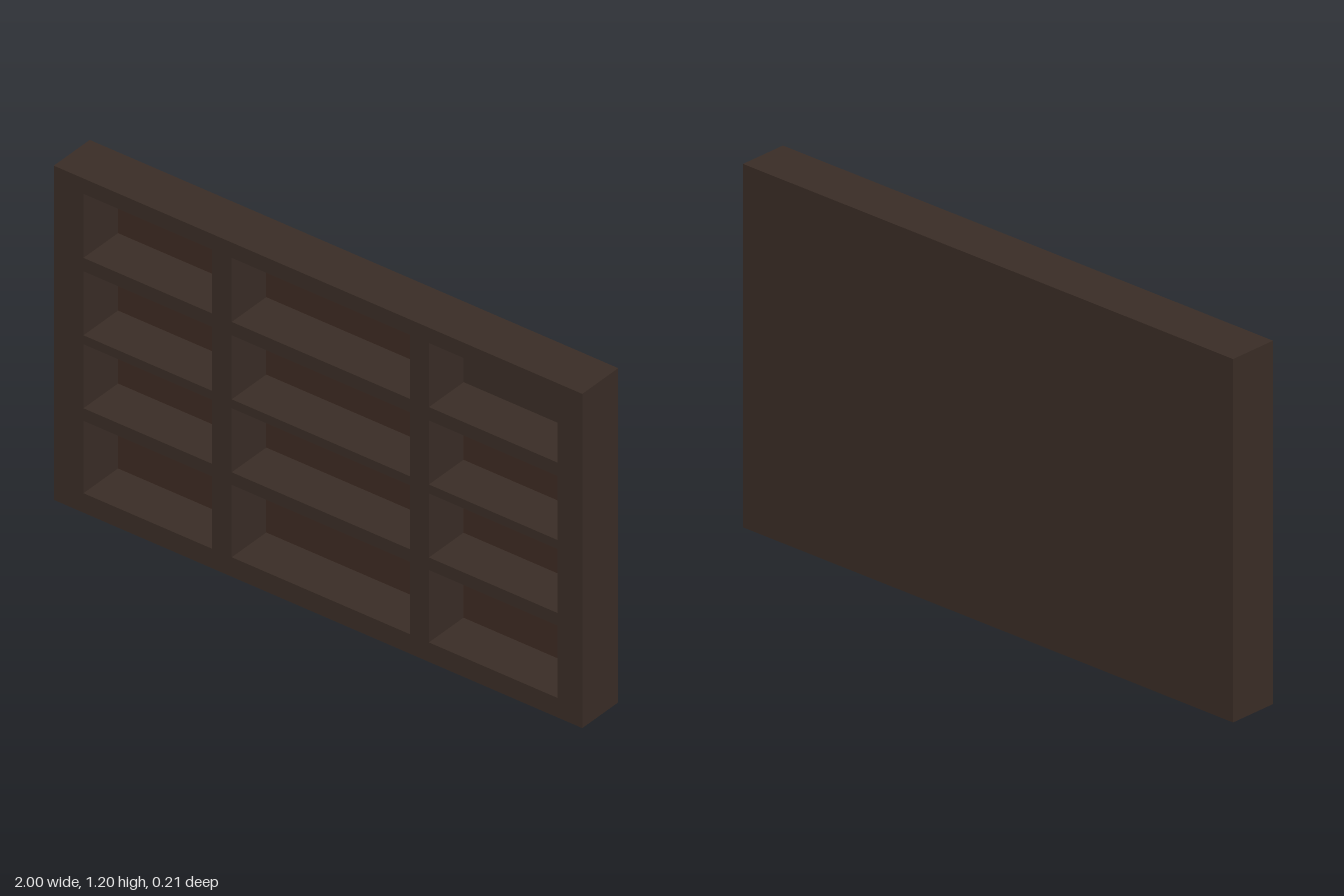
import * as THREE from 'three';

const W = 1.9965, H = 1.2, T = 0.175, BACK = 0.006;
const columns = [[-0.886, -0.401], [-0.326, 0.347], [0.419, 0.904]];
const rows = [[0.07, 0.33], [0.375, 0.605], [0.637, 0.867], [0.915, 1.145]];

function rectPath(path, x0, y0, x1, y1) {
  path.moveTo(x0, y0).lineTo(x1, y0).lineTo(x1, y1).lineTo(x0, y1).closePath();
  return path;
}

export function createModel() {
  const group = new THREE.Group();
  group.name = 'shelfUnit';
  const wood = new THREE.MeshStandardMaterial({ color: 0x3a2d26 });
  const lining = new THREE.MeshStandardMaterial({ color: 0x3d2a22 });
  const add = (name, geometry, material, x, y, z) => {
    const mesh = new THREE.Mesh(geometry, material);
    mesh.name = name;
    mesh.position.set(x, y, z);
    group.add(mesh);
  };

  // Frame with shelves and dividers, cut through by the compartments
  const shape = rectPath(new THREE.Shape(), -W / 2, 0, W / 2, H);
  for (const [x0, x1] of columns) {
    for (const [y0, y1] of rows) {
      shape.holes.push(rectPath(new THREE.Path(), x0, y0, x1, y1));
    }
  }
  const frame = new THREE.ExtrudeGeometry(shape, { depth: T - BACK, bevelEnabled: false });
  add('frame', frame, wood, 0, 0, -T / 2 + BACK);

  // Thin back board
  add('backBoard', new THREE.BoxGeometry(W, H, BACK), wood, 0, H / 2, -T / 2 + BACK / 2);

  // Tinted lining at the back of every compartment but the upper right one
  columns.forEach(([x0, x1], c) => rows.forEach(([y0, y1], r) => {
    if (c === 2 && r === 3) return;
    add('compartmentLining', new THREE.PlaneGeometry(x1 - x0, y1 - y0), lining,
      (x0 + x1) / 2, (y0 + y1) / 2, -T / 2 + BACK + 0.001);
  }));

  // The whole unit stands slightly turned
  group.rotation.y = -0.02;
  const model = new THREE.Group();
  model.name = 'shelf';
  model.add(group);
  return model;
}
